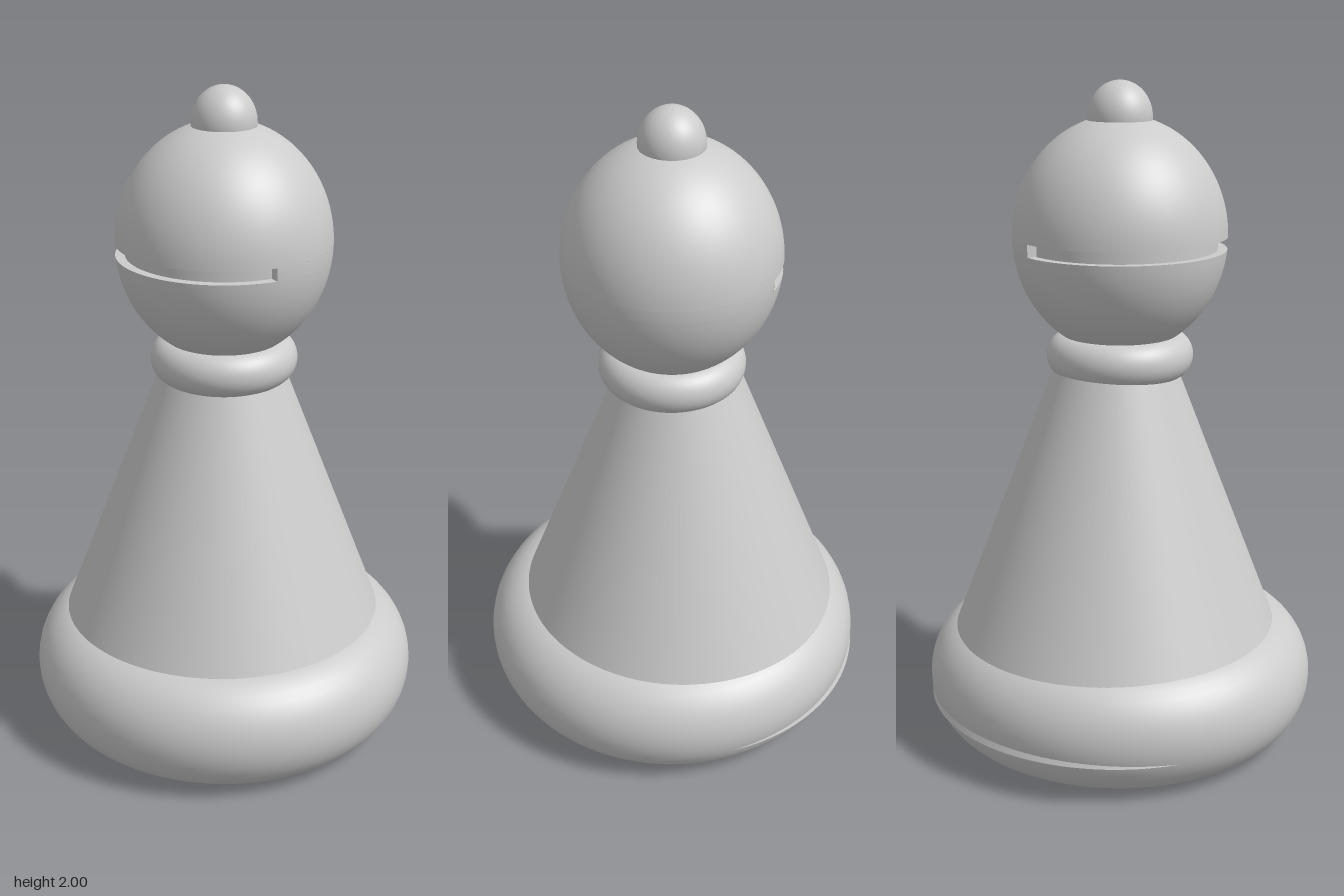
import * as THREE from 'three';

const STRETCH = 1.1; // every round part is slightly taller than wide
const material = new THREE.MeshStandardMaterial({ color: 0xcccccc });
const thin = new THREE.MeshStandardMaterial({ color: 0xcccccc, side: THREE.DoubleSide });

function add(parent, name, geometry, x, y, z, mat = material) {
  const mesh = new THREE.Mesh(geometry, mat);
  mesh.name = name;
  mesh.position.set(x, y, z);
  parent.add(mesh);
  return mesh;
}

// Lying ring, stretched upwards
function ring(major, minor) {
  return new THREE.TorusGeometry(major, minor, 40, 128).rotateX(Math.PI / 2).scale(1, STRETCH, 1);
}

function createHead() {
  const head = new THREE.Group();
  head.name = 'head';
  const radius = 0.318, height = radius * STRETCH;
  const low = -0.037, high = 0.001; // slit edges, relative to the head centre
  const floor = 0.288; // radius of the slit's floor
  const start = THREE.MathUtils.degToRad(152), end = Math.PI * 2;

  const rim = (y) => radius * Math.sqrt(Math.max(0, 1 - (y / height) ** 2));
  const arc = (y0, y1, n) => {
    const a0 = Math.asin(y0 / height), a1 = Math.asin(y1 / height);
    return Array.from({ length: n + 1 }, (_, i) => {
      const a = a0 + (a1 - a0) * i / n;
      return new THREE.Vector2(Math.max(0, radius * Math.cos(a)), height * Math.sin(a));
    });
  };
  const turn = (name, points, from = 0, to = end) =>
    add(head, name, new THREE.LatheGeometry(points, 96, from, to - from), 0, 0, 0);

  turn('lowerHead', arc(-height, low, 28));
  turn('upperHead', arc(high, height, 28));
  turn('headBand', arc(low, high, 4), 0, start);

  // Slit: ledge, floor and ceiling
  const corners = [[rim(low), low], [floor, low], [floor, high], [rim(high), high]]
    .map(([r, y]) => new THREE.Vector2(r, y));
  ['slitLedge', 'slitFloor', 'slitCeiling'].forEach((name, i) =>
    turn(name, corners.slice(i, i + 2), start, end));

  // Slit ends
  for (const phi of [start, end]) {
    const r = (floor + radius) / 2;
    const cap = add(head, 'slitEnd', new THREE.PlaneGeometry(radius - floor, high - low),
      r * Math.sin(phi), (low + high) / 2, r * Math.cos(phi), thin);
    cap.rotation.y = phi - Math.PI / 2;
  }
  head.position.y = 1.552;
  return head;
}

export function createModel() {
  const model = new THREE.Group();
  model.name = 'gamePiece';

  add(model, 'baseRing', ring(0.43, 0.168), 0, 0.184, 0);

  // Body cone, a little off centre so its lower rim breaks through the back of the base
  const bottom = 0.13, apex = 1.64;
  add(model, 'body', new THREE.ConeGeometry(0.58, apex - bottom, 128), 0.005, (bottom + apex) / 2, -0.02);

  add(model, 'collar', ring(0.16, 0.06), 0, 1.195, 0);
  model.add(createHead());
  add(model, 'knob', new THREE.SphereGeometry(0.095, 48, 32).scale(1, STRETCH, 1), 0, 1.895, 0);

  return model;
}
